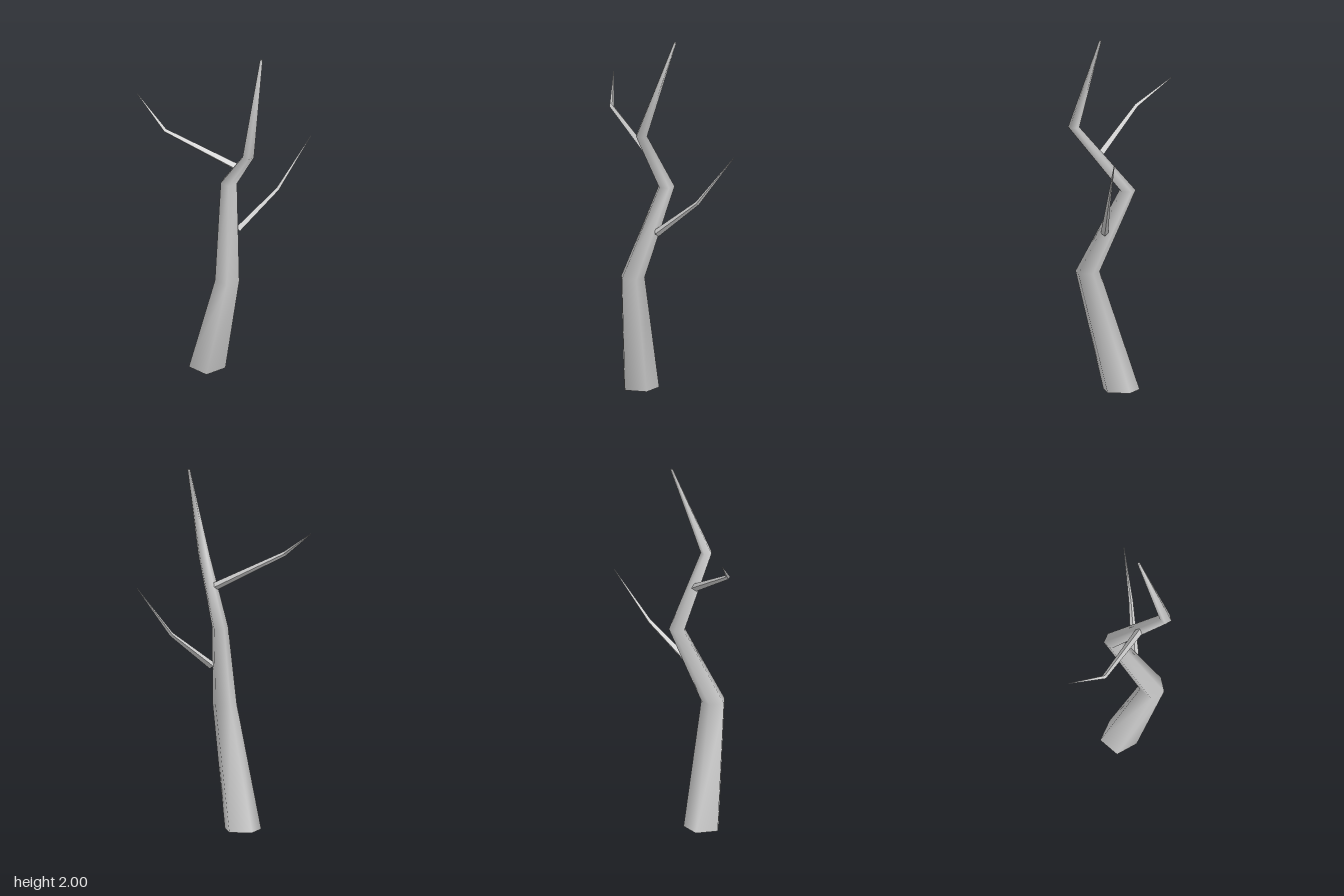
import * as THREE from 'three';

const vec = (x, y, z) => new THREE.Vector3(x, y, z);

// Lofts a tapering limb through rings [x, y, z, radius]; level keeps every ring horizontal.
function limb(name, rings, sides, { level = false, flat = false } = {}) {
  const centres = rings.map(([x, y, z]) => vec(x, y, z));
  const up = vec(0, 1, 0);
  const pos = [];
  const index = [];

  const loops = rings.map(([, , , r], i) => {
    const before = centres[Math.max(i - 1, 0)];
    const after = centres[Math.min(i + 1, rings.length - 1)];
    const dir = level ? up : after.clone().sub(before).normalize();
    const u = level ? vec(1, 0, 0) : dir.clone().cross(up).normalize();
    const v = dir.clone().cross(u);
    return Array.from({ length: sides }, (_, j) => {
      const a = (j / sides) * Math.PI * 2;
      return centres[i].clone()
        .addScaledVector(u, r * Math.cos(a))
        .addScaledVector(v, r * Math.sin(a));
    });
  });

  // Side walls
  loops.forEach((loop) => loop.forEach((p) => pos.push(p.x, p.y, p.z)));
  for (let i = 0; i < rings.length - 1; i++) {
    for (let j = 0; j < sides; j++) {
      const k = (j + 1) % sides;
      const a = i * sides + j;
      const b = i * sides + k;
      index.push(a, b, b + sides, a, b + sides, a + sides);
    }
  }

  // Flat end caps with their own vertices
  [loops[0], loops[loops.length - 1]].forEach((loop, end) => {
    const start = pos.length / 3;
    loop.forEach((p) => pos.push(p.x, p.y, p.z));
    for (let j = 1; j < sides - 1; j++) {
      if (end) index.push(start, start + j, start + j + 1);
      else index.push(start, start + j + 1, start + j);
    }
  });

  const geometry = new THREE.BufferGeometry();
  geometry.setAttribute('position', new THREE.Float32BufferAttribute(pos, 3));
  geometry.setIndex(index);
  geometry.computeVertexNormals();
  const mesh = new THREE.Mesh(
    geometry,
    new THREE.MeshStandardMaterial({ color: 0xcccccc, flatShading: flat })
  );
  mesh.name = name;
  return mesh;
}

export function createModel() {
  const tree = new THREE.Group();
  tree.name = 'bareTree';

  // Crooked five-sided trunk
  tree.add(limb('trunk', [
    [-0.025, 0, 0.1, 0.105],
    [0.131, 0.667, 0.205, 0.07],
    [0.054, 1.14, -0.022, 0.047],
    [0.25, 1.49, 0.196, 0.033],
    [0.25, 2, -0.002, 0.008],
  ], 5, { level: true }));

  // Thin side branches
  tree.add(limb('upperRightBranch', [
    [0.14, 1.338, 0.1, 0.022],
    [-0.24, 1.537, 0.184, 0.013],
    [-0.435, 1.679, 0.1, 0.002],
  ], 4, { flat: true }));
  tree.add(limb('lowerLeftBranch', [
    [0.142, 0.905, 0.066, 0.021],
    [0.305, 1.098, -0.11, 0.012],
    [0.434, 1.373, -0.277, 0.002],
  ], 4, { flat: true }));

  return tree;
}
